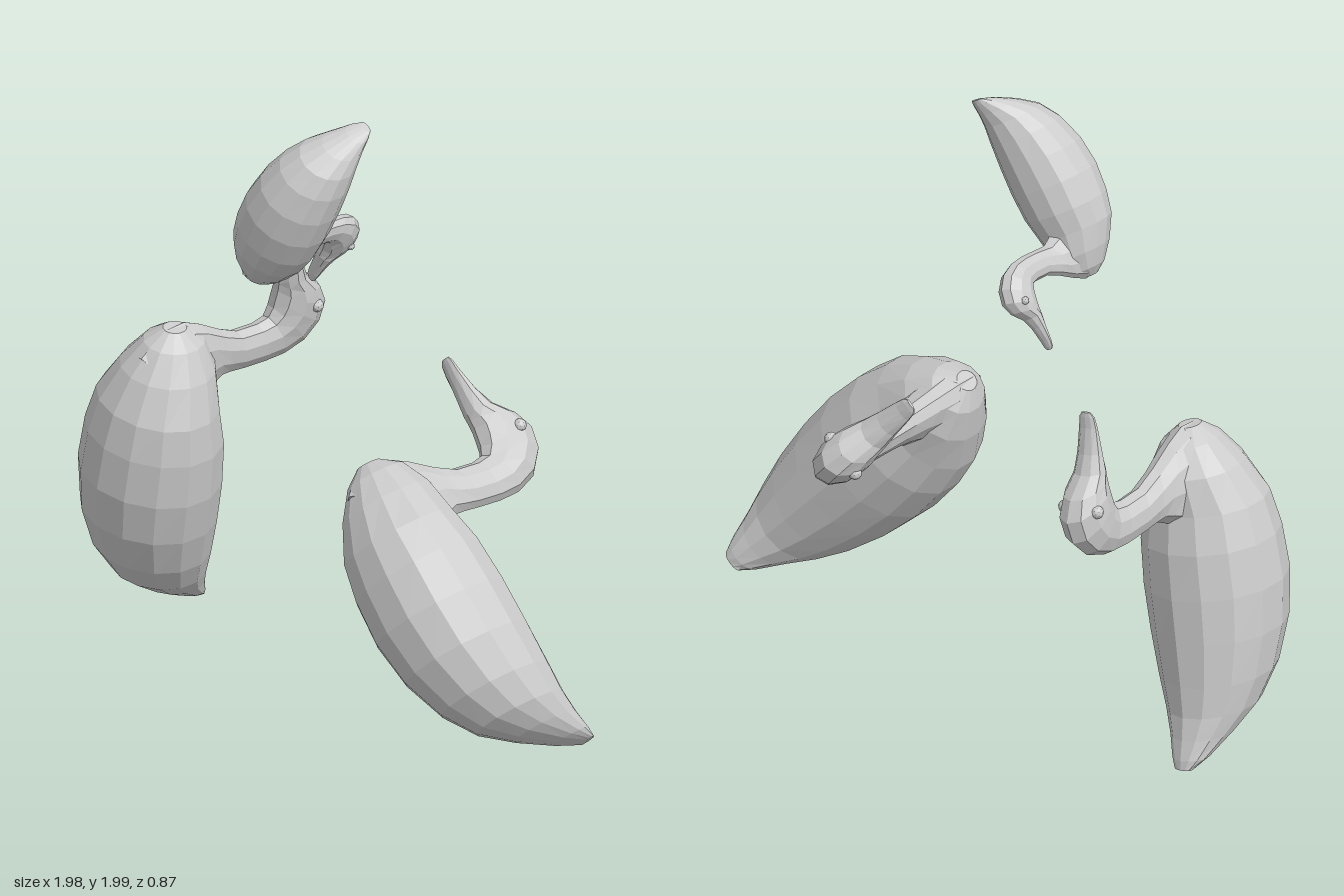
import * as THREE from 'three';

const material = new THREE.MeshStandardMaterial({ color: 0xcccccc, flatShading: true });

// Each section: [z1, y1, z2, y2, halfWidth]. The two points lie in the bird's
// mid-plane and span an oval ring; rings are skinned in order and capped.
function loft(sections, sides) {
  const positions = [], index = [];
  for (const [z1, y1, z2, y2, w] of sections) {
    for (let j = 0; j < sides; j++) {
      const a = (j / sides) * Math.PI * 2, c = Math.cos(a) / 2;
      positions.push(w * Math.sin(a), (y1 + y2) / 2 + (y2 - y1) * c, (z1 + z2) / 2 + (z2 - z1) * c);
    }
  }
  const last = sections.length - 1;
  for (let i = 0; i < last; i++) {
    for (let j = 0; j < sides; j++) {
      const a = i * sides + j, b = i * sides + (j + 1) % sides;
      index.push(a, a + sides, b, b, a + sides, b + sides);
    }
  }
  for (let j = 1; j < sides - 1; j++) {
    index.push(0, j, j + 1);
    index.push(last * sides, last * sides + j + 1, last * sides + j);
  }
  const geometry = new THREE.BufferGeometry();
  geometry.setAttribute('position', new THREE.Float32BufferAttribute(positions, 3));
  geometry.setIndex(index);
  geometry.computeVertexNormals();
  return geometry;
}

// Body from tail tip (z = 0) to breast
const bodyGeometry = loft([
  [0.0, 0.06, 0.0, 0.09, 0.035],
  [0.03, -0.03, 0.03, 0.085, 0.065],
  [0.09, -0.16, 0.09, 0.065, 0.105],
  [0.16, -0.27, 0.16, 0.045, 0.15],
  [0.26, -0.35, 0.26, 0.035, 0.19],
  [0.4, -0.41, 0.4, 0.025, 0.222],
  [0.55, -0.435, 0.55, 0.015, 0.237],
  [0.7, -0.43, 0.7, 0.0, 0.23],
  [0.82, -0.41, 0.82, -0.03, 0.205],
  [0.94, -0.355, 0.94, -0.04, 0.15],
  [1.03, -0.29, 1.03, -0.08, 0.09],
  [1.075, -0.23, 1.075, -0.15, 0.035],
], 14);

// Neck rising from the breast, turning forward into head
const neckHeadGeometry = loft([
  [1.0, -0.32, 0.78, -0.12, 0.1],
  [1.075, -0.23, 0.79, -0.04, 0.09],
  [1.08, -0.15, 0.81, 0.0, 0.072],
  [1.05, -0.08, 0.825, 0.03, 0.062],
  [1.0, 0.01, 0.825, 0.06, 0.053],
  [0.965, 0.09, 0.82, 0.12, 0.05],
  [0.96, 0.18, 0.815, 0.21, 0.05],
  [0.97, 0.225, 0.82, 0.29, 0.056],
  [1.0, 0.24, 0.85, 0.37, 0.068],
  [1.03, 0.245, 0.91, 0.425, 0.075],
  [1.06, 0.25, 0.985, 0.44, 0.075],
  [1.085, 0.25, 1.05, 0.41, 0.066],
  [1.11, 0.25, 1.11, 0.345, 0.056],
], 10);

// Flat tapering beak
const beakGeometry = loft([
  [1.11, 0.25, 1.11, 0.345, 0.056],
  [1.17, 0.255, 1.17, 0.315, 0.046],
  [1.25, 0.26, 1.25, 0.29, 0.036],
  [1.285, 0.264, 1.285, 0.284, 0.03],
  [1.3, 0.27, 1.3, 0.28, 0.018],
], 10);

const eyeGeometry = new THREE.IcosahedronGeometry(0.022, 1);

function addPart(parent, geometry, name) {
  const mesh = new THREE.Mesh(geometry, material);
  mesh.name = name;
  parent.add(mesh);
  return mesh;
}

// A bird with its tail tip at the given point, facing the given direction,
// its own up side turned to -z
function createBird(name, tail, direction, scale) {
  const bird = new THREE.Group();
  bird.name = name;
  addPart(bird, bodyGeometry, 'body');
  addPart(bird, neckHeadGeometry, 'neckAndHead');
  addPart(bird, beakGeometry, 'beak');
  for (const side of [1, -1]) {
    const eye = addPart(bird, eyeGeometry, side > 0 ? 'leftEye' : 'rightEye');
    eye.position.set(side * 0.066, 0.365, 1.005);
  }
  const forward = new THREE.Vector3(...direction, 0).normalize();
  const up = new THREE.Vector3(0, 0, -1);
  const lateral = new THREE.Vector3().crossVectors(up, forward);
  bird.quaternion.setFromRotationMatrix(new THREE.Matrix4().makeBasis(lateral, up, forward));
  bird.position.set(...tail);
  bird.scale.setScalar(scale);
  return bird;
}

export function createModel() {
  const group = new THREE.Group();
  group.name = 'waterBirds';
  group.add(
    createBird('rightBird', [-0.845, 0.005, 0], [0.23, 1.27], 0.99),
    createBird('leftBird', [0.965, 0.115, 0], [-0.88, 0.945], 0.99),
    createBird('smallBird', [0.115, 1.975, 0.13], [-0.39, -0.69], 0.615),
  );
  return group;
}
